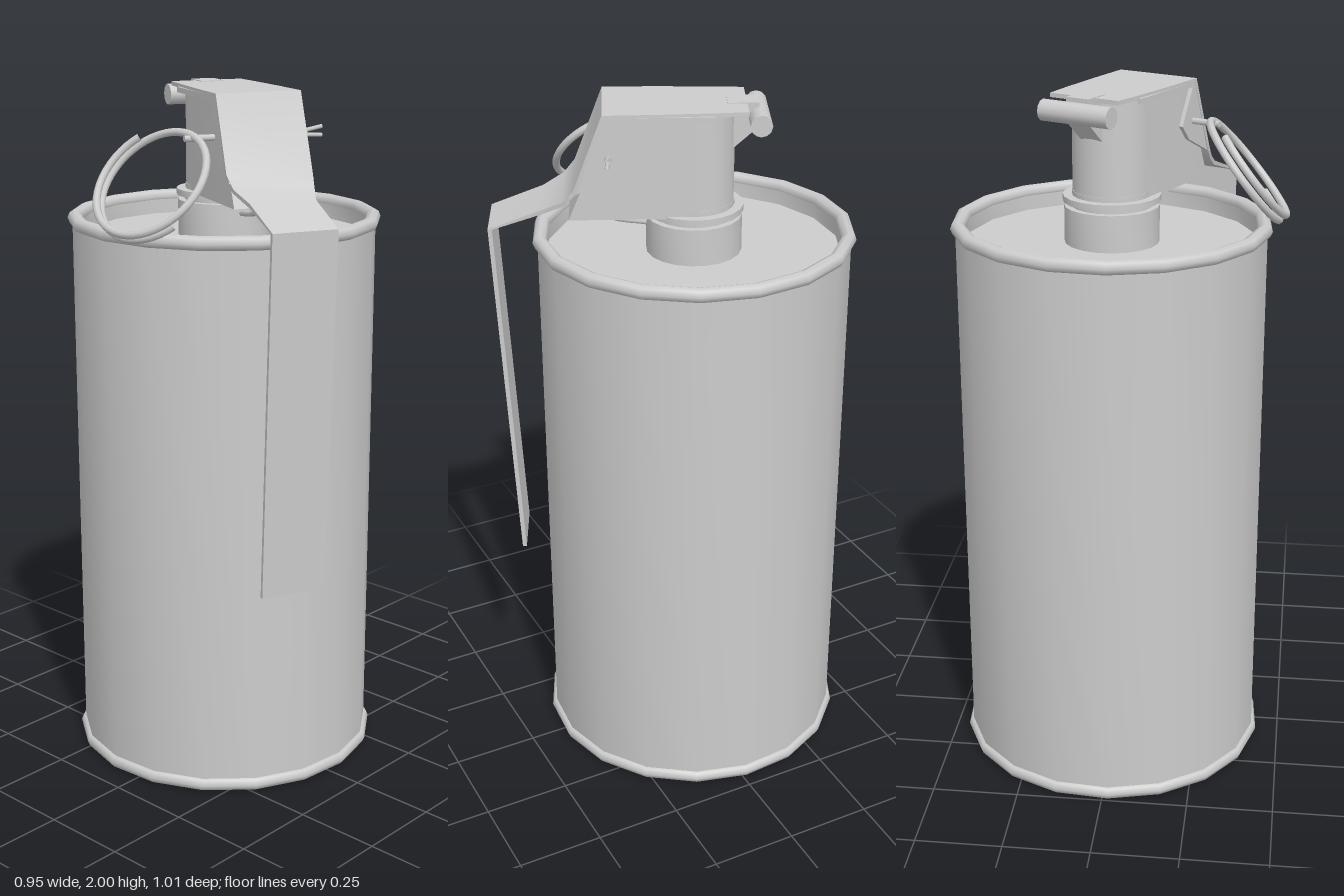
import * as THREE from 'three';
import { toCreasedNormals } from 'three/addons/utils/BufferGeometryUtils.js';

const SIDES = 18;
const metal = new THREE.MeshStandardMaterial({ color: 0xcccccc });
metal.name = 'pale grey metal';

function add(parent, name, geometry) {
  const mesh = new THREE.Mesh(geometry, metal);
  mesh.name = name;
  parent.add(mesh);
  return mesh;
}

// Profile of [radius, y] pairs turned round the canister axis
function turned(profile, crease = 0.6, sides = SIDES) {
  const pts = profile.map(([r, y]) => new THREE.Vector2(r, y));
  return toCreasedNormals(new THREE.LatheGeometry(pts, sides, 0.08), crease);
}

function rollProfile(radius, y, tube) {
  const pts = [];
  for (let i = 0; i <= 8; i++) {
    const a = (i / 8) * Math.PI * 2;
    pts.push([radius + tube * Math.cos(a), y + tube * Math.sin(a)]);
  }
  return pts;
}

// Side outline of [z, y] pairs, given a width in x and centred on x
function sidePlate(outline, width, x) {
  const shape = new THREE.Shape(outline.map(([z, y]) => new THREE.Vector2(z, y)));
  const geo = new THREE.ExtrudeGeometry(shape, { depth: width, bevelEnabled: false });
  return geo.rotateY(-Math.PI / 2).translate(x + width / 2, 0, 0);
}

// Bent strip from sections of [z, y, half width]
function bentStrip(sections, thickness) {
  const pos = [];
  const idx = [];
  const n = sections.length;
  sections.forEach(([z, y, hw], i) => {
    const a = sections[Math.max(i - 1, 0)];
    const b = sections[Math.min(i + 1, n - 1)];
    const t = new THREE.Vector2(b[0] - a[0], b[1] - a[1]).normalize();
    const zi = z + t.y * thickness;
    const yi = y - t.x * thickness;
    pos.push(-hw, y, z, hw, y, z, hw, yi, zi, -hw, yi, zi);
  });
  for (let i = 0; i < n - 1; i++) {
    for (let j = 0; j < 4; j++) {
      const a = i * 4 + j;
      const b = i * 4 + ((j + 1) % 4);
      idx.push(a, a + 4, b + 4, a, b + 4, b);
    }
  }
  const e = (n - 1) * 4;
  idx.push(0, 1, 2, 0, 2, 3, e, e + 2, e + 1, e, e + 3, e + 2);
  const geo = new THREE.BufferGeometry();
  geo.setAttribute('position', new THREE.Float32BufferAttribute(pos, 3));
  geo.setIndex(idx);
  geo.computeVertexNormals();
  return toCreasedNormals(geo, 1.1);
}

// Head block: rounded at the rear, front face leaning back
function headBlock() {
  const r = 0.11;
  const shape = new THREE.Shape();
  shape.moveTo(-r, -0.345);
  shape.lineTo(r, -0.345);
  shape.lineTo(r, 0);
  shape.absarc(0, 0, r, 0, Math.PI, false);
  shape.closePath();
  const geo = new THREE.ExtrudeGeometry(shape, { depth: 0.285, bevelEnabled: false, curveSegments: 10 });
  geo.rotateX(-Math.PI / 2).translate(0, 1.7, 0);
  const p = geo.attributes.position;
  for (let i = 0; i < p.count; i++) {
    if (p.getZ(i) > 0.3 && p.getY(i) > 1.9) p.setZ(i, 0.225);
  }
  return toCreasedNormals(geo, 0.6);
}

// Split ring of about one and a half turns
function splitRing() {
  const up = new THREE.Vector3(0.63, 0.775, 0);
  const side = new THREE.Vector3(0.06, 0, 1).normalize();
  const normal = new THREE.Vector3().crossVectors(side, up).normalize();
  const pts = [];
  for (let i = 0; i <= 48; i++) {
    const t = i / 48;
    const a = THREE.MathUtils.degToRad(130 + 550 * t);
    pts.push(new THREE.Vector3(-0.355, 1.765, 0.03)
      .addScaledVector(up, 0.167 * Math.cos(a))
      .addScaledVector(side, 0.167 * Math.sin(a))
      .addScaledVector(normal, (t - 0.5) * 0.036));
  }
  return new THREE.TubeGeometry(new THREE.CatmullRomCurve3(pts), 72, 0.011, 8);
}

export function createModel() {
  const model = new THREE.Group();
  model.name = 'canister with lever';

  // Canister with rolled rims and recessed ends
  const can = new THREE.Group();
  can.name = 'canister';
  can.position.set(0.018, 0, -0.052);
  model.add(can);
  add(can, 'body', turned([[0.44, 0.02], [0.44, 1.62]]));
  add(can, 'topRim', turned(rollProfile(0.433, 1.62, 0.021), 1.0));
  add(can, 'bottomRim', turned(rollProfile(0.433, 0.021, 0.021), 1.0));
  add(can, 'topLid', turned([[0.415, 1.62], [0.415, 1.57], [0, 1.57]]));
  add(can, 'bottomLid', turned([[0, 0.05], [0.415, 0.05], [0.415, 0.02]]));
  add(can, 'neck', turned([
    [0.134, 1.57], [0.134, 1.675], [0.115, 1.675], [0.115, 1.688],
    [0.138, 1.688], [0.138, 1.706], [0.112, 1.706], [0.112, 1.72], [0, 1.72],
  ], 0.6, 20));

  // Head assembly, turned towards the front right
  const head = new THREE.Group();
  head.name = 'head';
  head.position.copy(can.position);
  head.rotation.y = -0.44;
  model.add(head);
  add(head, 'headBlock', headBlock());
  add(head, 'lever', bentStrip([
    [-0.14, 1.998, 0.108], [-0.05, 1.998, 0.115], [0.1, 1.998, 0.122], [0.25, 1.998, 0.125],
    [0.33, 1.79, 0.126], [0.36, 1.755, 0.118], [0.42, 1.725, 0.096],
    [0.567, 1.67, 0.094], [0.516, 0.64, 0.095],
  ], 0.012));
  for (const s of [-1, 1]) {
    add(head, s > 0 ? 'leftLeverFlap' : 'rightLeverFlap', sidePlate([
      [-0.05, 1.99], [-0.05, 1.975], [0.23, 1.975], [0.176, 1.873],
      [0.215, 1.83], [0.345, 1.768], [0.33, 1.79], [0.25, 1.99],
    ], 0.012, s * 0.118));
  }

  // Hinge at the rear of the lever
  const rod = new THREE.CylinderGeometry(0.03, 0.03, 0.216, 12).rotateZ(Math.PI / 2);
  add(head, 'hingeRod', rod).position.set(0, 1.958, -0.174);
  add(head, 'hingeTab', new THREE.BoxGeometry(0.07, 0.02, 0.085)).position.set(0, 1.99, -0.13);
  add(head, 'hingeBrace', sidePlate([[-0.1, 1.87], [-0.1, 1.985], [-0.17, 1.985], [-0.18, 1.94]], 0.07, 0));

  // Safety pin through the head, with splayed ends
  const pin = new THREE.CylinderGeometry(0.009, 0.009, 0.36, 8).rotateZ(Math.PI / 2);
  add(head, 'pin', pin).position.set(-0.03, 1.88, 0.235);
  for (const s of [-1, 1]) {
    const path = new THREE.LineCurve3(
      new THREE.Vector3(0.12, 1.88 + s * 0.003, 0.235),
      new THREE.Vector3(0.195, 1.885 + s * 0.012, 0.238));
    add(head, 'pinEnd', new THREE.TubeGeometry(path, 1, 0.006, 6));
  }

  // Small curved clip under the head
  const clip = new THREE.CatmullRomCurve3([
    new THREE.Vector3(0, 1.705, 0.27), new THREE.Vector3(0, 1.668, 0.23), new THREE.Vector3(0, 1.65, 0.13),
  ]);
  add(head, 'clip', new THREE.TubeGeometry(clip, 10, 0.009, 6));

  add(model, 'pullRing', splitRing());
  return model;
}
